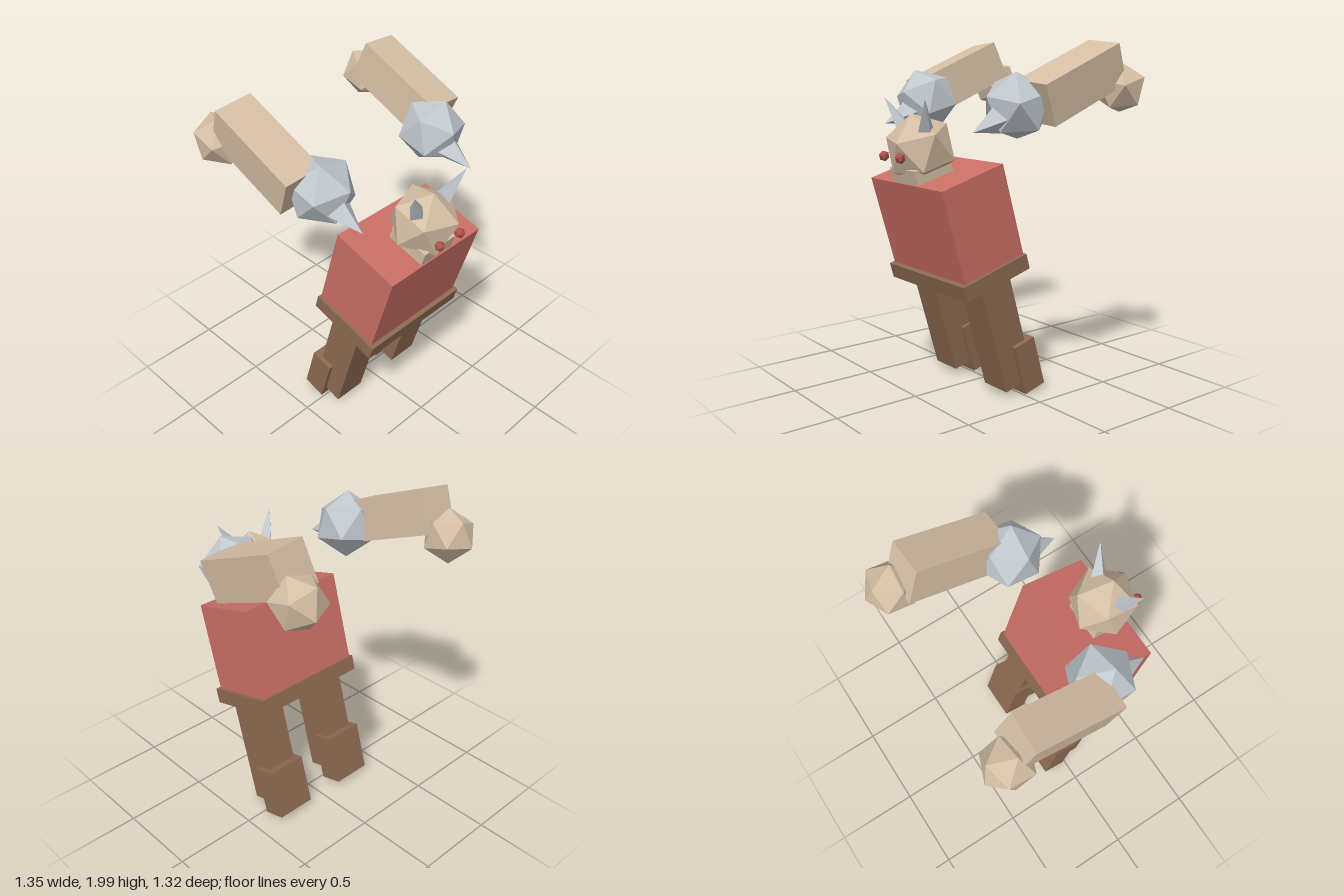
import * as THREE from 'three';

const mat = (name, color) => {
  const m = new THREE.MeshStandardMaterial({ color });
  m.name = name;
  return m;
};

export function createModel() {
  const root = new THREE.Group();
  root.name = 'hornedFighter';
  const red = mat('red cloth', 0xc96f65);
  const brown = mat('brown leather', 0x8c6a52);
  const skin = mat('tan skin', 0xd4bea4);
  const steel = mat('pale steel', 0xc0c7cd);
  const eyeRed = mat('eye red', 0xb0504c);
  const LEAN = 0.28; // forward lean of the body

  const add = (name, geo, material, pos, rot = [0, 0, 0]) => {
    // split corners so every face has its own flat normal
    const g = geo.index ? geo.toNonIndexed() : geo;
    g.computeVertexNormals();
    const m = new THREE.Mesh(g, material);
    m.name = name;
    m.position.set(...pos);
    m.rotation.set(...rot);
    root.add(m);
    return m;
  };
  const box = (name, size, material, pos, rot = [LEAN, 0, 0]) =>
    add(name, new THREE.BoxGeometry(...size), material, pos, rot);

  // twenty-sided ball standing on a corner; mirrored copies are flipped
  const ball = (name, r, material, pos, rot, mirrored = false) => {
    const g = new THREE.IcosahedronGeometry(r, 0);
    g.rotateX(-Math.atan((1 + Math.sqrt(5)) / 2));
    g.rotateY(Math.PI / 2);
    if (mirrored) g.rotateX(Math.PI);
    return add(name, g, material, pos, rot);
  };

  // four-sided spike from a base point to a tip
  const spike = (name, r, base, tip) => {
    const a = new THREE.Vector3(...base), b = new THREE.Vector3(...tip);
    const dir = b.clone().sub(a);
    const m = add(name, new THREE.ConeGeometry(r, dir.length(), 4), steel,
      a.add(b).multiplyScalar(0.5).toArray());
    m.quaternion.setFromUnitVectors(new THREE.Vector3(0, 1, 0), dir.normalize());
  };

  // body
  box('torso', [0.696, 0.534, 0.418], red, [0, 1.024, 0.275]);
  box('belt', [0.73, 0.09, 0.453], brown, [0, 0.72, 0.196]);
  box('neck', [0.24, 0.1, 0.24], skin, [0, 1.29, 0.435]);
  ball('head', 0.2, skin, [0, 1.412, 0.445], [LEAN, 0, 0]);

  for (const s of [-1, 1]) {
    const side = s > 0 ? 'left' : 'right';
    const mirrored = s > 0;

    // face and horns
    ball(side + 'Eye', 0.03, eyeRed, [s * 0.08, 1.376, 0.625], [LEAN, 0, 0]);
    spike(side + 'Horn', 0.055, [s * 0.09, 1.495, 0.47], [s * 0.199, 1.687, 0.545]);

    // legs
    box(side + 'Leg', [0.196, 0.627, 0.203], brown, [s * 0.241, 0.365, 0.098]);
    box(side + 'Foot', [0.243, 0.303, 0.144], brown, [s * 0.2435, 0.168, -0.042]);

    // raised arms with spiked balls in front and fists behind
    box(side + 'Arm', [0.224, 0.236, 0.564], skin, [s * 0.52, 1.77, -0.192], [0.385, 0, -s * 0.1]);
    ball(side + 'Fist', 0.15, skin, [s * 0.553, 1.736, -0.52], [0.28, 0, -s * 0.26], mirrored);
    ball(side + 'SpikedBall', 0.19, steel, [s * 0.42, 1.648, 0.115], [0.25, 0, -s * 0.26], mirrored);
    spike(side + 'BallSpike', 0.1, [s * 0.42, 1.6, 0.19], [s * 0.42, 1.52, 0.408]);
  }
  return root;
}
